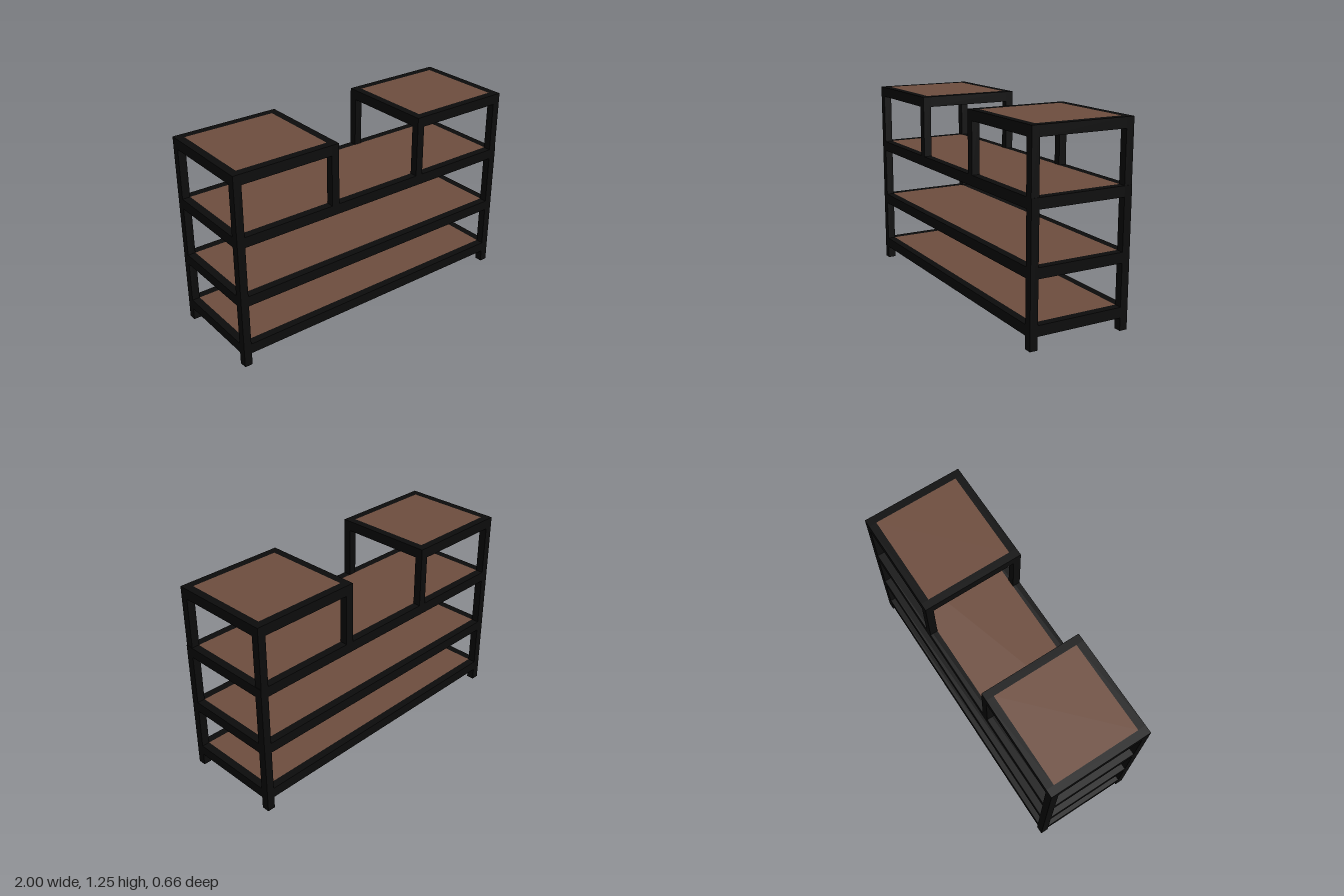
import * as THREE from 'three';

const BAR = 0.05;    // width of the frame bars
const RAIL = 0.065;  // height of the rails
const DEPTH = 0.66;

const frameMat = new THREE.MeshStandardMaterial({ color: 0x0c0c0c });
const woodMat = new THREE.MeshStandardMaterial({ color: 0x6f4e3f });

// Box given by its lower and upper corners
function box(name, [x0, y0, z0], [x1, y1, z1], material) {
  const mesh = new THREE.Mesh(new THREE.BoxGeometry(x1 - x0, y1 - y0, z1 - z0), material);
  mesh.position.set((x0 + x1) / 2, (y0 + y1) / 2, (z0 + z1) / 2);
  mesh.name = name;
  return mesh;
}

// Rails on four sides, with a wooden board set flush inside over a dark base
function shelf(name, x0, x1, top) {
  const group = new THREE.Group();
  group.name = name;
  const z = DEPTH / 2, bottom = top - RAIL, a = x0 + BAR, b = x1 - BAR, zi = z - BAR;
  group.add(
    box('frontRail', [a, bottom, zi], [b, top, z], frameMat),
    box('backRail', [a, bottom, -z], [b, top, -zi], frameMat),
    box('rightRail', [x0, bottom, -zi], [a, top, zi], frameMat),
    box('leftRail', [b, bottom, -zi], [x1, top, zi], frameMat),
    box('boardBase', [a, bottom, -zi], [b, top - 0.01, zi], frameMat),
    box('board', [a, top - 0.01, -zi], [b, top, zi], woodMat),
  );
  return group;
}

// Four corner posts
function posts(name, x0, x1, bottom, top) {
  const group = new THREE.Group();
  group.name = name;
  const z = DEPTH / 2;
  for (const x of [x0, x1 - BAR]) {
    for (const zMin of [-z, z - BAR]) {
      group.add(box('post', [x, bottom, zMin], [x + BAR, top, zMin + BAR], frameMat));
    }
  }
  return group;
}

export function createModel() {
  const model = new THREE.Group();
  model.name = 'shelvingUnit';

  // Wide lower unit with three shelves
  model.add(posts('mainPosts', -1, 1, 0, 0.86));
  model.add(shelf('bottomShelf', -1, 1, 0.145));
  model.add(shelf('middleShelf', -1, 1, 0.475));
  model.add(shelf('upperShelf', -1, 1, 0.86));

  // Two raised end platforms
  for (const [side, x0, x1] of [['right', -1, -0.303], ['left', 0.296, 0.997]]) {
    model.add(posts(side + 'PlatformPosts', x0, x1, 0.86, 1.245));
    model.add(shelf(side + 'Platform', x0, x1, 1.245));
  }
  return model;
}
